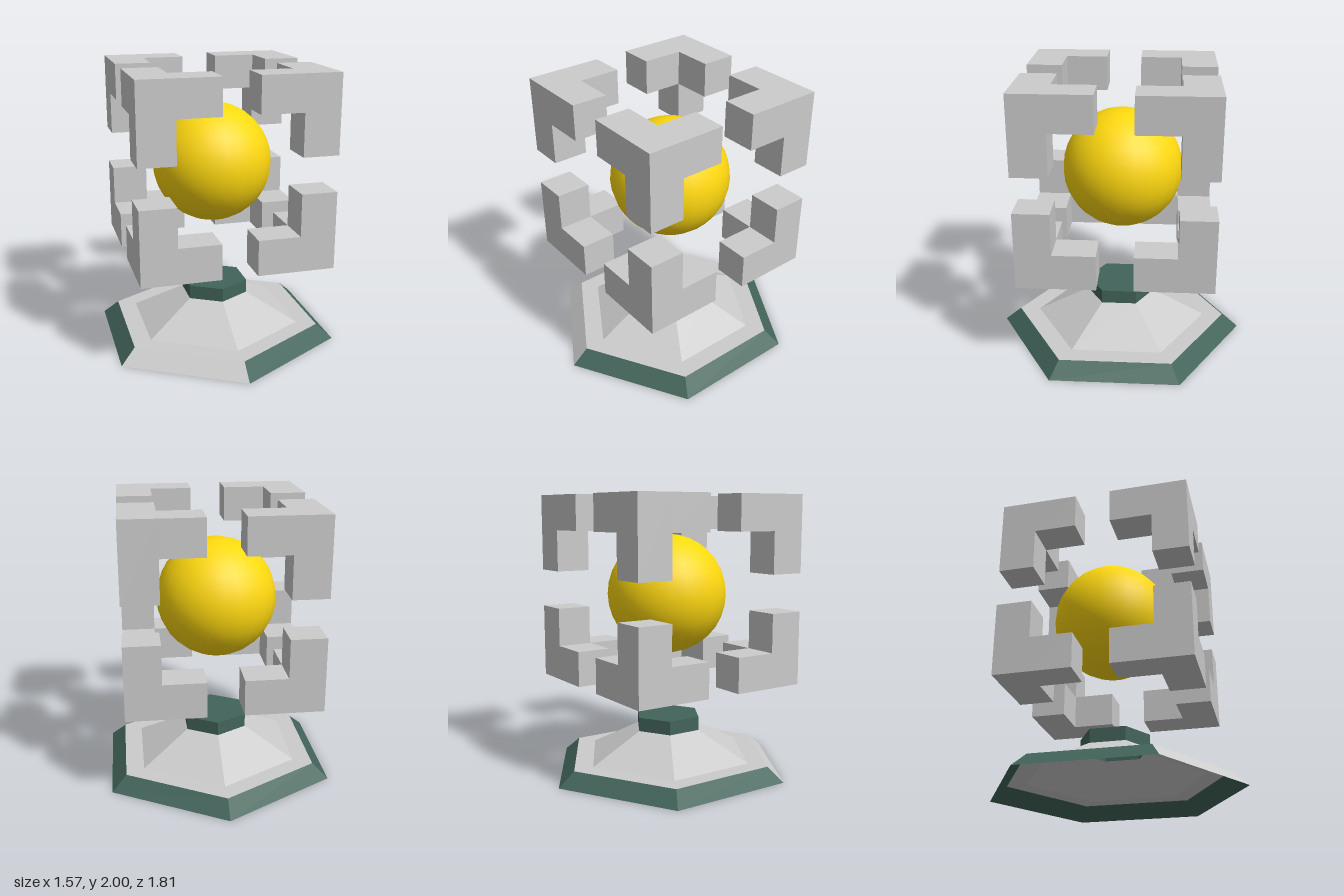
import * as THREE from 'three';

const grey = new THREE.MeshStandardMaterial({ color: 0xcccccc });
const greyShell = new THREE.MeshStandardMaterial({ color: 0xcccccc, flatShading: true, side: THREE.DoubleSide });
const green = new THREE.MeshStandardMaterial({ color: 0x42645a, flatShading: true, side: THREE.DoubleSide });
const yellow = new THREE.MeshStandardMaterial({ color: 0xffd90f });

function add(parent, name, geometry, material, x = 0, y = 0, z = 0) {
  const mesh = new THREE.Mesh(geometry, material);
  mesh.name = name;
  mesh.position.set(x, y, z);
  parent.add(mesh);
  return mesh;
}

// Open six-sided wall from y0 to y1, covering `sides` faces from face `first`
function hexWall(rTop, rBottom, y0, y1, first = 0, sides = 6) {
  const step = Math.PI / 3;
  return new THREE.CylinderGeometry(rTop, rBottom, y1 - y0, sides, 1, true, first * step, sides * step)
    .translate(0, (y0 + y1) / 2, 0);
}

// Flat six-sided ring or disc facing up, corners on the z axis
function hexRing(inner, outer, y) {
  return new THREE.RingGeometry(inner, outer, 6, 1, Math.PI / 2).rotateX(-Math.PI / 2).translate(0, y, 0);
}

function createBase() {
  const base = new THREE.Group();
  base.name = 'base';
  add(base, 'rim', hexWall(0.785, 0.905, 0, 0.1, 0, 5), green);
  add(base, 'rimFrontPanel', hexWall(0.785, 0.905, 0, 0.1, 5, 1), greyShell);
  add(base, 'ledge', hexRing(0.635, 0.785, 0.1), greyShell);
  add(base, 'slope', hexWall(0.25, 0.635, 0.1, 0.3), greyShell);
  add(base, 'collar', hexWall(0.25, 0.25, 0.3, 0.4), green);
  add(base, 'collarCap', new THREE.CircleGeometry(0.25, 6, Math.PI / 2).rotateX(-Math.PI / 2), green, 0, 0.4, 0);
  return base;
}

// Three square bars meeting at one corner of the cube cage
function createBracket(sx, sy, sz) {
  const half = 0.67, thick = 0.25, length = 0.545;
  const mid = half - thick / 2;             // centre line of a bar
  const stub = length - thick;
  const stubMid = half - thick - stub / 2;  // centre of a bar beyond the corner
  const bracket = new THREE.Group();
  bracket.name = 'cornerBracket';
  bracket.position.y = 1.33;
  // most of the lower uprights are a touch shorter
  const upright = sy < 0 && !(sx > 0 && sz > 0) ? 0.525 : length;
  add(bracket, 'uprightBar', new THREE.BoxGeometry(thick, upright, thick), grey,
    sx * mid, sy * (half - upright / 2), sz * mid);
  add(bracket, 'sideBar', new THREE.BoxGeometry(stub, thick, thick), grey, sx * stubMid, sy * mid, sz * mid);
  add(bracket, 'depthBar', new THREE.BoxGeometry(thick, thick, stub), grey, sx * mid, sy * mid, sz * stubMid);
  return bracket;
}

export function createModel() {
  const model = new THREE.Group();
  model.name = 'floatingOrbStand';
  model.add(createBase());

  // Eight corners of the cage
  for (const sx of [-1, 1])
    for (const sy of [-1, 1])
      for (const sz of [-1, 1]) model.add(createBracket(sx, sy, sz));

  add(model, 'orb', new THREE.SphereGeometry(0.428, 24, 16), yellow, -0.012, 1.298, -0.015);
  return model;
}
